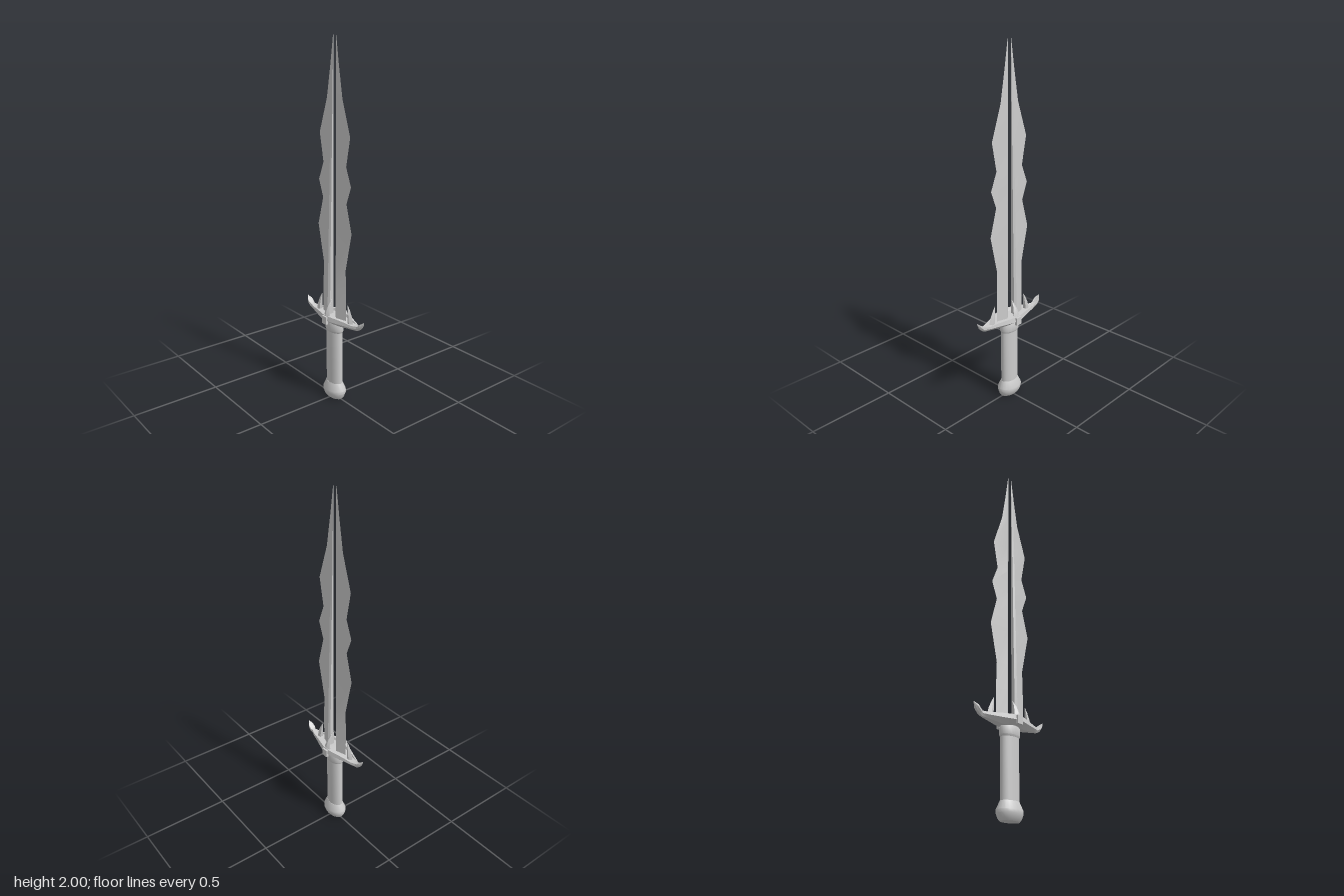
import * as THREE from 'three';
import { toCreasedNormals } from 'three/addons/utils/BufferGeometryUtils.js';

// Skin a list of closed cross-sections (equal point counts) and cap both ends.
function loft(sections, crease) {
  const n = sections[0].length, index = [];
  const p = sections.flat();
  for (let s = 0; s < sections.length - 1; s++) {
    for (let i = 0; i < n; i++) {
      const a = s * n + i, b = s * n + (i + 1) % n;
      index.push(a, b, b + n, a, b + n, a + n);
    }
  }
  const last = (sections.length - 1) * n;
  const outline = (s) => s.map((q) => new THREE.Vector2(...flatAxes.map((k) => q[k])));
  // Caps lie across the axis along which the sections advance.
  const axis = Math.abs(p[last][1] - p[0][1]) > Math.abs(p[last][2] - p[0][2]) ? 1 : 2;
  const flatAxes = axis === 1 ? [2, 0] : [0, 1];
  const ccw = !THREE.ShapeUtils.isClockWise(outline(sections[0]));
  for (const [a, b, c] of THREE.ShapeUtils.triangulateShape(outline(sections[0]), [])) {
    if (ccw) index.push(a, c, b); else index.push(a, b, c);
  }
  for (const [a, b, c] of THREE.ShapeUtils.triangulateShape(outline(sections.at(-1)), [])) {
    if (ccw) index.push(last + a, last + b, last + c); else index.push(last + a, last + c, last + b);
  }
  // Turn the faces outward if the sections ran the other way round.
  let volume = 0;
  const v = p.map((q) => new THREE.Vector3(...q));
  for (let i = 0; i < index.length; i += 3) {
    volume += v[index[i]].dot(v[index[i + 1]].clone().cross(v[index[i + 2]]));
  }
  if (volume < 0) index.reverse();
  const g = new THREE.BufferGeometry();
  g.setAttribute('position', new THREE.Float32BufferAttribute(p.flat(), 3));
  g.setIndex(index);
  return toCreasedNormals(g, crease);
}

export function createModel() {
  const model = new THREE.Group();
  const steel = new THREE.MeshStandardMaterial({ color: 0xcccccc });
  steel.name = 'grey steel';
  const add = (name, geometry, turn = 0) => {
    const mesh = new THREE.Mesh(geometry, steel);
    mesh.name = name;
    mesh.rotation.y = turn;
    model.add(mesh);
    return mesh;
  };

  // Split wavy blade: [height, distance of the cutting edge from the centre]
  const edge = [[0.49, 0.1], [0.65, 0.1], [0.79, 0.096], [1.0, 0.143], [1.155, 0.1], [1.25, 0.136],
    [1.35, 0.096], [1.505, 0.127], [1.69, 0.064], [1.85, 0.036], [2.0, 0.013]];
  const blade = loft(edge.map(([y, z]) => {
    const t = (y - 0.49) / 1.51;
    const inner = 0.026 - 0.015 * t;
    const w = 0.02 * (1 - t) + 0.0008;
    const ridge = inner + Math.min(0.012, (z - inner) * 0.4);
    return [[-0.6 * w, y, inner], [-w, y, ridge], [0, y, z], [w, y, ridge], [0.6 * w, y, inner]];
  }), 0.35);
  add('frontBlade', blade);
  add('backBlade', blade, Math.PI);

  // Crossguard: [z, half width, top, bottom], mirrored to both ends
  const half = [[0.03, 0.066, 0.513, 0.46], [0.08, 0.051, 0.51, 0.462], [0.13, 0.035, 0.505, 0.468],
    [0.17, 0.024, 0.5, 0.473], [0.2, 0.012, 0.502, 0.476], [0.216, 0.017, 0.51, 0.484],
    [0.232, 0.016, 0.525, 0.5], [0.252, 0.001, 0.54, 0.536]];
  const stations = [...half.map(([z, ...r]) => [-z, ...r]).reverse(), [0, 0.069, 0.514, 0.46], ...half];
  add('crossguard', loft(stations.map(([z, w, top, bottom]) => {
    const h = top - bottom;
    const dip = Math.abs(z) < 0.15 ? 0.25 * h : 0.05 * h;
    const side = [[0.45 * w, bottom], [w, bottom + 0.5 * h], [0.93 * w, top], [0.7 * w, top],
      [0.6 * w, top - dip]];
    return [...side, ...side.map(([x, y]) => [-x, y]).reverse()].map(([x, y]) => [x, y, z]);
  }), 0.4));

  // Small square studs on the flanks of the guard
  for (const s of [1, -1]) {
    const stud = add(s > 0 ? 'leftStud' : 'rightStud', new THREE.BoxGeometry(0.016, 0.044, 0.036));
    stud.position.set(s * 0.067, 0.488, 0);
  }

  // Curved prongs: [height, inner distance, outer distance, half width], reaching along +z
  const prong = (rows) => loft(rows.map(([y, a, b, w]) =>
    [[-0.7 * w, y, a], [0.7 * w, y, a], [w, y, (a + b) / 2], [0, y, b], [-w, y, (a + b) / 2]]), 0.3);
  const endProng = prong([[0.49, 0.126, 0.162, 0.014], [0.53, 0.122, 0.151, 0.012],
    [0.565, 0.118, 0.134, 0.007], [0.594, 0.114, 0.116, 0.001]]);
  const sideProng = prong([[0.49, 0.046, 0.068, 0.028], [0.53, 0.044, 0.06, 0.019],
    [0.565, 0.034, 0.046, 0.01], [0.598, 0.018, 0.021, 0.001]]);
  add('frontProng', endProng);
  add('backProng', endProng, Math.PI);
  add('leftProng', sideProng, Math.PI / 2);
  add('rightProng', sideProng, -Math.PI / 2);

  // Oval turned parts: [height, half width, half depth]
  const oval = (rows) => loft(rows.map(([y, rx, rz]) => Array.from({ length: 20 }, (_, i) => {
    const a = i / 20 * Math.PI * 2;
    return [rx * Math.cos(a), y, rz * Math.sin(a)];
  })), 0.5);
  add('grip', oval([[0.08, 0.036, 0.057], [0.42, 0.036, 0.057]]));
  add('collar', oval([[0.408, 0.036, 0.058], [0.418, 0.041, 0.063], [0.455, 0.041, 0.063], [0.47, 0.036, 0.058]]));
  add('pommel', oval([[0, 0.036, 0.06], [0.012, 0.046, 0.069], [0.036, 0.055, 0.078],
    [0.053, 0.055, 0.078], [0.095, 0.037, 0.058]]));

  return model;
}
